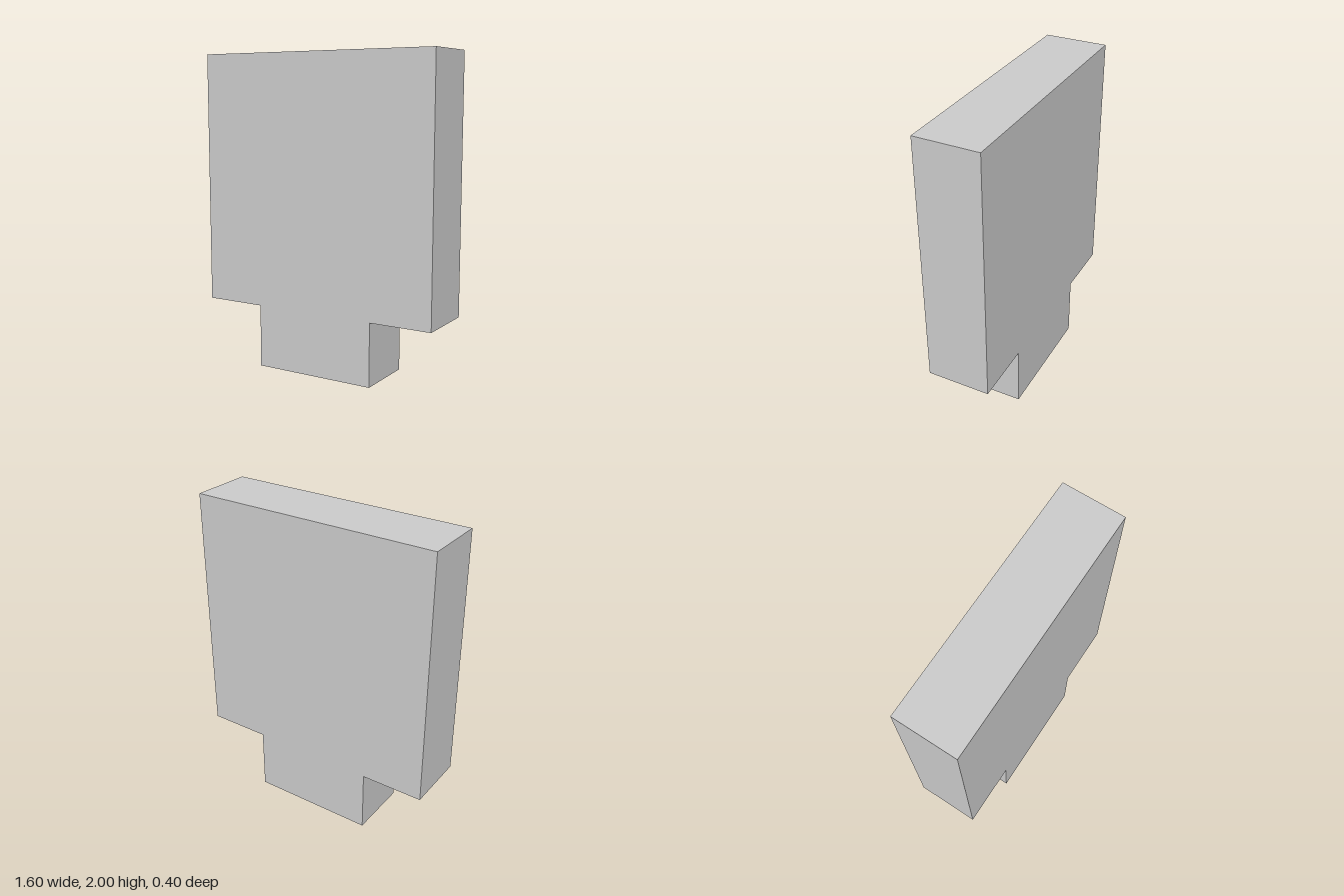
import * as THREE from 'three';

const DEPTH = 0.4;

export function createModel() {
  const group = new THREE.Group();
  group.name = 'steppedPanel';

  // Wide slab with a narrower foot, as one continuous outline
  const half = [[0.4, 0], [0.4, 0.4], [0.8, 0.4], [0.8, 2]];
  const mirrored = half.map(([x, y]) => [-x, y]).reverse();
  const outline = new THREE.Shape([...half, ...mirrored].map(([x, y]) => new THREE.Vector2(x, y)));

  const geometry = new THREE.ExtrudeGeometry(outline, { depth: DEPTH, bevelEnabled: false });
  geometry.translate(0, 0, -DEPTH / 2);

  const material = new THREE.MeshStandardMaterial({ color: 0xcccccc, flatShading: true });
  const panel = new THREE.Mesh(geometry, material);
  panel.name = 'panelWithFoot';
  group.add(panel);
  return group;
}
